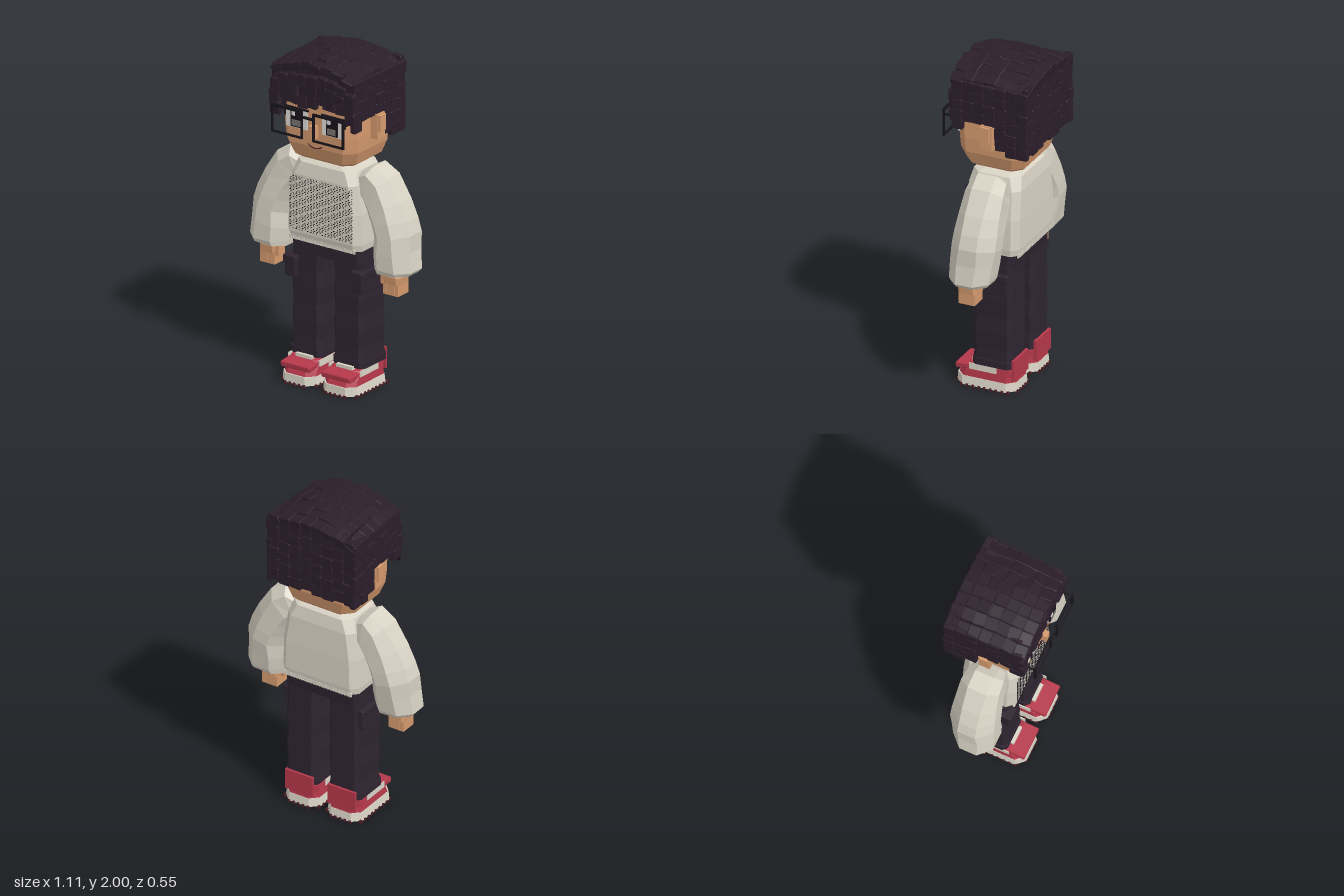
import * as THREE from 'three';
import { mergeGeometries } from 'three/addons/utils/BufferGeometryUtils.js';
import { RoundedBoxGeometry } from 'three/addons/geometries/RoundedBoxGeometry.js';

const mat = (name, color) => Object.assign(new THREE.MeshStandardMaterial({ color }), { name });
const M = {
  skin: mat('skin', 0xd59a6e), hair: mat('hair', 0x2b1e2b), pants: mat('trousers', 0x2e2430),
  knit: mat('sweater', 0xd8d2c4), red: mat('shoe red', 0xb5384a), sole: mat('sole white', 0xdad4c6),
  black: mat('frame black', 0x17131a), eye: mat('eye white', 0xdedbd6), grey: mat('iris grey', 0x77736f),
  dark: mat('dark red', 0x4f1f28),
};

// small seeded generator, returns -1..1
let seed = 7;
const rnd = () => { seed = (seed * 16807) % 2147483647; return seed / 1073741823.5 - 1; };

// flat shaded skin over equal-length rings, listed bottom to top, with closed ends
function loft(rings) {
  const n = rings[0].length, pos = [];
  const tri = (a, b, c) => pos.push(...a, ...b, ...c);
  for (let i = 0; i + 1 < rings.length; i++) for (let j = 0; j < n; j++) {
    const k = (j + 1) % n, a = rings[i], b = rings[i + 1];
    tri(a[j], a[k], b[k]);
    tri(a[j], b[k], b[j]);
  }
  const first = rings[0], last = rings[rings.length - 1];
  for (let j = 1; j + 1 < n; j++) {
    tri(first[0], first[j + 1], first[j]);
    tri(last[0], last[j], last[j + 1]);
  }
  const g = new THREE.BufferGeometry();
  g.setAttribute('position', new THREE.Float32BufferAttribute(pos, 3));
  g.computeVertexNormals();
  return g;
}

// chamfered section between an inner and an outer point in x, y
function section(xi, yi, xo, yo, z0, z1, c, s = 1) {
  const len = Math.hypot(xo - xi, yo - yi), u = c / len, v = c / (z1 - z0);
  const pts = [[1, 1 - v], [1, v], [1 - u, 0], [u, 0], [0, v], [0, 1 - v], [u, 1], [1 - u, 1]]
    .map(([p, q]) => [s * (xi + (xo - xi) * p), yi + (yo - yi) * p, z0 + (z1 - z0) * q]);
  return s < 0 ? pts.reverse() : pts;
}
// level section from [y, x0, x1, z0, z1, chamfer]
const level = (s = 1) => ([y, x0, x1, z0, z1, c]) => section(x0, y, x1, y, z0, z1, c, s);

const boxGeo = (x0, x1, y0, y1, z0, z1) => new THREE.BoxGeometry(x1 - x0, y1 - y0, z1 - z0)
  .translate((x0 + x1) / 2, (y0 + y1) / 2, (z0 + z1) / 2);
// box mirrored onto side s
const sideBox = (s, x0, x1, ...r) => s > 0 ? boxGeo(x0, x1, ...r) : boxGeo(-x1, -x0, ...r);

function tile(x, y, z, w, h, d, rx = 0, ry = 0, rz = 0) {
  const g = new RoundedBoxGeometry(w, h, d, 1, 0.009);
  g.applyMatrix4(new THREE.Matrix4().makeRotationFromEuler(new THREE.Euler(rx, ry, rz)));
  return g.translate(x, y, z);
}

function hairTiles() {
  const g = [], crown = (x, z) => 1.972 - 0.9 * x * x - 0.35 * z * z;
  // crown
  for (let i = 0; i < 8; i++) for (let j = 0; j < 7; j++) {
    const x = -0.257 + i * 0.071, z = -0.235 + j * 0.07;
    g.push(tile(x * (1 - 0.04 * j / 6) - 0.005, crown(x, z) - 0.004 + rnd() * 0.008, z, 0.077, 0.045, 0.08,
      0.5 * z + rnd() * 0.06, rnd() * 0.13, -Math.atan(1.8 * x)));
  }
  // fringe, leaning as it falls
  for (let i = 0; i < 9; i++) {
    const x = -0.265 + i * 0.064;
    const low = i === 0 ? 1.62 : i === 8 ? 1.66 : 1.71 + 0.015 * Math.sin(i * 1.5) + (i > 4 ? 0.015 : 0);
    const top = crown(x, 0.15) - 0.01, rows = 4, h = (top - low) / rows;
    for (let r = 0; r < rows; r++) g.push(tile(x + rnd() * 0.008, low + h * (r + 0.5),
      0.203 - (r === 3 ? 0.025 : 0) + rnd() * 0.004, 0.068, h + 0.012, 0.04, rnd() * 0.08, rnd() * 0.08, rnd() * 0.14 - 0.06));
  }
  // sides: sideburn, gap round the ear, long nape
  for (const s of [-1, 1]) for (let j = 0; j < 7; j++) {
    const z = 0.172 - j * 0.068, low = j === 0 ? 1.61 : j < 4 ? 1.665 : j === 4 ? 1.53 : 1.5;
    const rows = Math.round((1.91 - low) / 0.066), h = (1.91 - low) / rows;
    for (let r = 0; r < rows; r++) g.push(tile(s * (0.272 + 0.01 * j / 6) - 0.008 + rnd() * 0.004, low + h * (r + 0.5),
      z + rnd() * 0.004, 0.036, h + 0.008, 0.071, rnd() * 0.06, rnd() * 0.06, 0));
  }
  // back
  for (let i = 0; i < 8; i++) for (let r = 0; r < 6; r++) {
    g.push(tile(-0.26 + i * 0.072, 1.54 + r * 0.07 + 0.012 * Math.sin(i * 2), -0.25 + rnd() * 0.004, 0.074, 0.076, 0.038,
      rnd() * 0.05, rnd() * 0.06, rnd() * 0.06));
  }
  // solid under the tiles
  g.push(tile(-0.005, 1.79, -0.03, 0.54, 0.25, 0.44), tile(-0.005, 1.915, -0.03, 0.44, 0.06, 0.42),
    tile(-0.005, 1.62, -0.18, 0.53, 0.22, 0.13));
  return mergeGeometries(g);
}

export function createModel() {
  const model = new THREE.Group();
  const add = (name, material, ...geos) => {
    const mesh = new THREE.Mesh(geos.length > 1 ? mergeGeometries(geos) : geos[0], material);
    mesh.name = name;
    model.add(mesh);
  };

  // head and face
  add('head', M.skin, loft([
    [1.36, -0.185, 0.185, -0.17, 0.13, 0.05], [1.385, -0.22, 0.22, -0.195, 0.165, 0.06],
    [1.46, -0.245, 0.245, -0.215, 0.19, 0.06], [1.55, -0.252, 0.252, -0.215, 0.195, 0.06],
    [1.85, -0.252, 0.252, -0.215, 0.195, 0.05]].map(level())));
  add('nose', M.skin, boxGeo(-0.02, 0.02, 1.525, 1.6, 0.18, 0.235));
  add('mouth', M.dark, new THREE.TubeGeometry(new THREE.QuadraticBezierCurve3(
    new THREE.Vector3(-0.05, 1.478, 0.197), new THREE.Vector3(0, 1.44, 0.197), new THREE.Vector3(0.05, 1.478, 0.197)),
    10, 0.0035, 5));
  add('hair', M.hair, hairTiles());

  // sweater body
  add('sweaterBody', M.knit, loft([
    [0.86, -0.25, 0.25, -0.185, 0.13, 0.04], [0.9, -0.255, 0.255, -0.19, 0.138, 0.04],
    [1.08, -0.25, 0.25, -0.19, 0.14, 0.04], [1.25, -0.225, 0.225, -0.185, 0.14, 0.04],
    [1.325, -0.2, 0.2, -0.17, 0.125, 0.05], [1.355, -0.13, 0.13, -0.13, 0.09, 0.05],
    [1.37, -0.12, 0.12, -0.12, 0.08, 0.05]].map(level())));
  const hem = [];
  for (let i = 0; i < 24; i++) for (const z of [0.128, -0.183])
    hem.push(new THREE.BoxGeometry(0.013, 0.024, 0.012).translate(-0.219 + i * 0.019, 0.862, z));
  add('sweaterHem', M.knit, ...hem);
  // rows of small dark stitches
  const stitches = [];
  for (let i = 0; i < 22; i++) for (let j = 0; j < 31; j++)
    if ((i * 7 + j * 3) % 5) stitches.push(new THREE.BoxGeometry(0.007, 0.004, 0.003)
      .translate(-0.21 + i * 0.02 + (j % 2) * 0.005, 0.92 + j * 0.0105, 0.143));
  add('stitches', M.black, ...stitches);

  // hips
  add('hips', M.pants, loft([[0.765, -0.245, 0.245, -0.15, 0.095, 0.03],
    [0.87, -0.245, 0.245, -0.165, 0.1, 0.03]].map(level())));

  for (const s of [1, -1]) {
    const side = s > 0 ? 'left' : 'right';
    const sb = (...r) => sideBox(s, ...r);

    // ear
    add(side + 'Ear', M.skin, sb(0.24, 0.3, 1.52, 1.67, -0.055, 0.015), sb(0.3, 0.315, 1.57, 1.665, -0.045, 0.01));

    // eye, lid and brow
    add(side + 'EyeWhite', M.eye, sb(0.05, 0.2, 1.555, 1.67, 0.193, 0.2));
    add(side + 'Lid', M.black, sb(0.045, 0.205, 1.668, 1.678, 0.193, 0.206), sb(0.2, 0.208, 1.62, 1.678, 0.193, 0.206));
    add(side + 'Pupil', M.black, sb(0.082, 0.16, 1.562, 1.668, 0.2, 0.209));
    add(side + 'Iris', M.grey, sb(0.092, 0.15, 1.57, 1.605, 0.209, 0.213));
    add(side + 'Glint', M.eye, boxGeo(s * 0.121 - 0.03, s * 0.121 - 0.008, 1.63, 1.655, 0.209, 0.214));
    add(side + 'Brow', M.hair, tile(s * 0.125, 1.715, 0.203, 0.14, 0.02, 0.02, 0, 0, -s * 0.06));

    // glasses
    const z0 = 0.263, z1 = 0.275;
    add(side + 'Rim', M.black, sb(0.035, 0.25, 1.685, 1.699, z0, z1), sb(0.035, 0.25, 1.53, 1.54, z0, z1),
      sb(0.035, 0.046, 1.53, 1.695, z0, z1), sb(0.239, 0.25, 1.53, 1.695, z0, z1), sb(0, 0.04, 1.655, 1.668, z0, z1));
    add(side + 'Temple', M.black, sb(0.239, 0.25, 1.66, 1.67, 0.1, z0));

    // sleeve, cuff to shoulder: xi, yi, xo, yo, z0, z1, chamfer
    add(side + 'Sleeve', M.knit, loft([
      [0.305, 0.755, 0.54, 0.765, -0.11, 0.11, 0.06], [0.3, 0.785, 0.555, 0.785, -0.125, 0.12, 0.07],
      [0.295, 0.86, 0.54, 0.9, -0.14, 0.12, 0.07], [0.29, 0.95, 0.54, 1.0, -0.155, 0.115, 0.08],
      [0.265, 1.02, 0.515, 1.08, -0.155, 0.11, 0.08], [0.235, 1.09, 0.465, 1.18, -0.15, 0.1, 0.07],
      [0.21, 1.14, 0.38, 1.31, -0.145, 0.09, 0.06], [0.19, 1.17, 0.285, 1.365, -0.13, 0.085, 0.05],
      [0.16, 1.18, 0.21, 1.325, -0.11, 0.07, 0.04]].map(r => section(...r, s))));

    // hand with fingers and thumb
    const fingers = [0, 1, 2, 3].map(i => sb(0.374 + i * 0.026, 0.398 + i * 0.026, 0.63, 0.71, -0.035, 0.065));
    add(side + 'Hand', M.skin, loft([[0.695, 0.372, 0.48, -0.045, 0.07, 0.015],
      [0.74, 0.365, 0.485, -0.045, 0.075, 0.02], [0.79, 0.38, 0.47, -0.04, 0.06, 0.02]].map(level(s))));
    add(side + 'Fingers', M.skin, ...fingers);
    add(side + 'Thumb', M.skin, sb(0.352, 0.378, 0.685, 0.765, 0.0, 0.06));

    // trouser leg with gentle folds and turned hem
    const folds = [0.16, 0.26, 0.36, 0.46, 0.56, 0.66, 0.78].map((y, i) => {
      const f = (i % 2) * 0.006;
      return [y, 0.04 + f, 0.248 - f, -0.15, 0.092 - f / 2, 0.025];
    });
    add(side + 'Leg', M.pants, loft(folds.map(level(s))));
    add(side + 'Cuff', M.pants, loft([[0.15, 0.035, 0.255, -0.152, 0.095, 0.025],
      [0.19, 0.035, 0.255, -0.152, 0.095, 0.025]].map(level(s))));
    add(side + 'Pocket', M.pants, tile(s * 0.232, 0.665, -0.005, 0.07, 0.11, 0.25));
    add(side + 'PocketFlap', M.pants, tile(s * 0.23, 0.717, -0.003, 0.085, 0.05, 0.27));

    // shoe
    add(side + 'Sole', M.sole, loft([[0.01, 0.022, 0.258, -0.17, 0.2, 0.05],
      [0.062, 0.03, 0.25, -0.165, 0.198, 0.045]].map(level(s))));
    add(side + 'Shoe', M.red, loft([[0.062, 0.032, 0.248, -0.163, 0.19, 0.045],
      [0.095, 0.035, 0.245, -0.16, 0.175, 0.045], [0.14, 0.04, 0.24, -0.155, 0.115, 0.03]].map(level(s))));
    add(side + 'ToeStrap', M.red, tile(s * 0.14, 0.115, 0.15, 0.2, 0.035, 0.1, 0.08));
    add(side + 'Heel', M.red, sb(0.05, 0.235, 0.08, 0.205, -0.165, -0.148));
    add(side + 'ShoePanel', M.sole, sb(0.246, 0.25, 0.11, 0.148, -0.06, 0.11), sb(0.03, 0.036, 0.11, 0.148, -0.06, 0.11));
    add(side + 'Tongue', M.sole, sb(0.085, 0.195, 0.135, 0.16, 0.085, 0.115));

    // studs round the sole edge
    const studs = [];
    for (let i = 0; i < 9; i++) for (const x of [0.026, 0.254])
      studs.push(new THREE.BoxGeometry(0.014, 0.018, 0.014).translate(s * x, 0.009, -0.135 + i * 0.036));
    for (let i = 0; i < 5; i++) for (const z of [-0.167, 0.197])
      studs.push(new THREE.BoxGeometry(0.014, 0.018, 0.014).translate(s * (0.076 + i * 0.032), 0.009, z));
    add(side + 'Studs', M.dark, ...studs);
  }
  return model;
}
